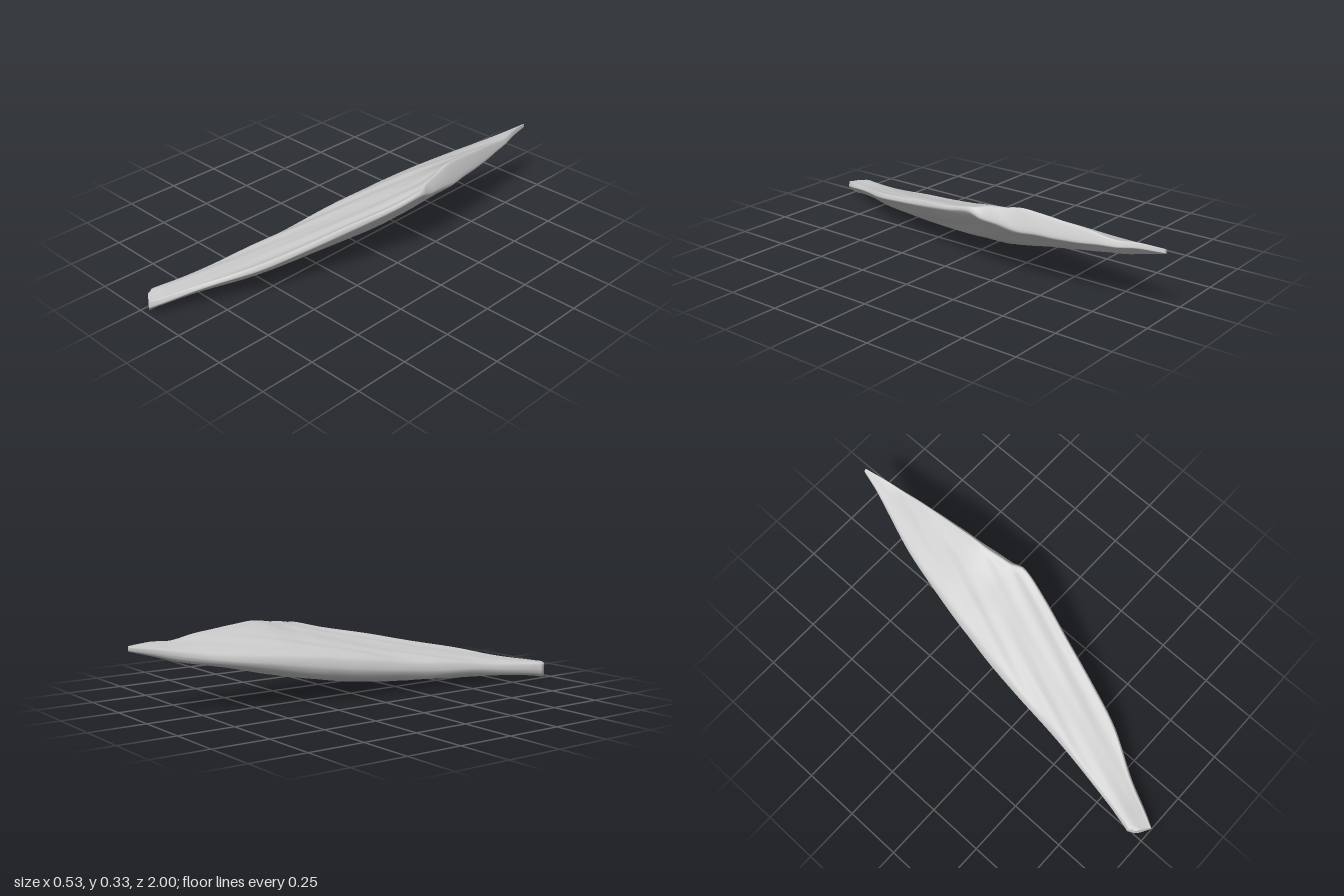
import * as THREE from 'three';

// Stations along the shard, front to back:
// z, left x, right x, lowest y, left shoulder y, right edge low y, right edge top y, bevel width
const STATIONS = [
  [1.00, -0.25, -0.188, 0.00, 0.07, 0.04, 0.065, 0.004],
  [0.95, -0.265, -0.16, 0.005, 0.075, 0.053, 0.073, 0.008],
  [0.80, -0.235, -0.09, 0.02, 0.085, 0.085, 0.10, 0.01],
  [0.60, -0.20, 0.025, 0.03, 0.105, 0.125, 0.145, 0.01],
  [0.40, -0.17, 0.10, 0.035, 0.13, 0.165, 0.185, 0.01],
  [0.20, -0.15, 0.165, 0.045, 0.15, 0.205, 0.23, 0.01],
  [0.00, -0.125, 0.23, 0.06, 0.182, 0.25, 0.27, 0.01],
  [-0.14, -0.10, 0.262, 0.077, 0.20, 0.282, 0.305, 0.01],
  [-0.20, -0.09, 0.255, 0.085, 0.207, 0.265, 0.308, 0.025],
  [-0.35, -0.06, 0.243, 0.115, 0.22, 0.25, 0.33, 0.033],
  [-0.60, 0.00, 0.215, 0.17, 0.237, 0.253, 0.315, 0.022],
  [-0.80, 0.07, 0.185, 0.21, 0.262, 0.265, 0.29, 0.01],
  [-0.90, 0.105, 0.165, 0.24, 0.275, 0.275, 0.295, 0.006],
  [-1.00, 0.132, 0.145, 0.268, 0.285, 0.275, 0.29, 0.002],
];
const ROWS = 96, SIDES = 64;
const mix = THREE.MathUtils.lerp;

// Smooth value of one station column at z (cubic with finite-difference slopes)
function sample(z, col) {
  const n = STATIONS.length;
  let i = 0;
  while (i < n - 2 && z < STATIONS[i + 1][0]) i++;
  const slope = (k) => {
    const a = STATIONS[Math.max(k - 1, 0)], b = STATIONS[Math.min(k + 1, n - 1)];
    return (b[col] - a[col]) / (b[0] - a[0]);
  };
  const p = STATIONS[i], q = STATIONS[i + 1], h = q[0] - p[0], t = (z - p[0]) / h;
  const t2 = t * t, t3 = t2 * t;
  return (2 * t3 - 3 * t2 + 1) * p[col] + (t3 - 2 * t2 + t) * h * slope(i)
    + (3 * t2 - 2 * t3) * q[col] + (t3 - t2) * h * slope(i + 1);
}

// Closed cross-section: rounded left side, bellied underside, thin raised right edge
function section(z) {
  const [xl, xr, yb, yl, lo, hi, bevel] = [1, 2, 3, 4, 5, 6, 7].map((c) => sample(z, c));
  const w = xr - xl;
  const P = (u, y) => new THREE.Vector3(xl + u * w, y, z);
  const curve = new THREE.CatmullRomCurve3([
    P(0, mix(yb, yl, 0.5)),
    P(0.06, mix(yb, yl, 0.16)),
    P(0.32, yb),
    P(0.62, mix(yb, lo, 0.26)),
    P(0.88, mix(yb, lo, 0.74)),
    P(1, lo),
    P(1 - bevel / w, hi),
    P(0.9 - bevel / w, mix(yl, hi, 0.86)),
    P(0.58, mix(yl, hi, 0.56)),
    P(0.27, mix(yl, hi, 0.24)),
    P(0.05, mix(yb, yl, 0.9)),
  ], true, 'catmullrom', 0.35);
  const pts = [];
  for (let j = 0; j < SIDES; j++) {
    const p = curve.getPoint(j / SIDES);
    // faint diagonal grain, fading towards the ends
    const fade = 1 - z * z;
    p.y += 0.0025 * fade * (Math.sin(p.x * 55 + z * 22) + 0.6 * Math.sin(p.x * 90 + z * 31 + 1));
    // the blunt end is cut at a slant
    const u = (p.x - xl) / w;
    p.z -= 0.045 * (1 - u) * THREE.MathUtils.smoothstep(z, 0.9, 1);
    pts.push(p);
  }
  return pts;
}

function geometryFrom(points, index) {
  const g = new THREE.BufferGeometry().setFromPoints(points);
  g.setIndex(index);
  g.computeVertexNormals();
  return g;
}

// Flat fan over an end ring
function capGeometry(ring, flip) {
  const centre = ring.reduce((s, p) => s.add(p), new THREE.Vector3()).divideScalar(ring.length);
  const index = [];
  for (let j = 0; j < SIDES; j++) {
    const a = 1 + j, b = 1 + (j + 1) % SIDES;
    index.push(0, ...(flip ? [b, a] : [a, b]));
  }
  return geometryFrom([centre, ...ring], index);
}

export function createModel() {
  const group = new THREE.Group();
  group.name = 'shard';
  const material = new THREE.MeshStandardMaterial({ color: 0xcccccc });
  const add = (name, geometry) => {
    const mesh = new THREE.Mesh(geometry, material);
    mesh.name = name;
    group.add(mesh);
  };

  // Long body skinned through the cross-sections
  const rings = [];
  for (let i = 0; i <= ROWS; i++) rings.push(section(1 - (2 * i) / ROWS));
  const index = [];
  for (let i = 0; i < ROWS; i++) {
    for (let j = 0; j < SIDES; j++) {
      const k = (j + 1) % SIDES;
      const a = i * SIDES + j, b = i * SIDES + k, c = a + SIDES, d = b + SIDES;
      index.push(a, c, b, b, c, d);
    }
  }
  add('shardBody', geometryFrom(rings.flat(), index));

  // Ends
  add('bluntEnd', capGeometry(rings[0], false));
  add('pointedTip', capGeometry(rings[ROWS], true));
  return group;
}
